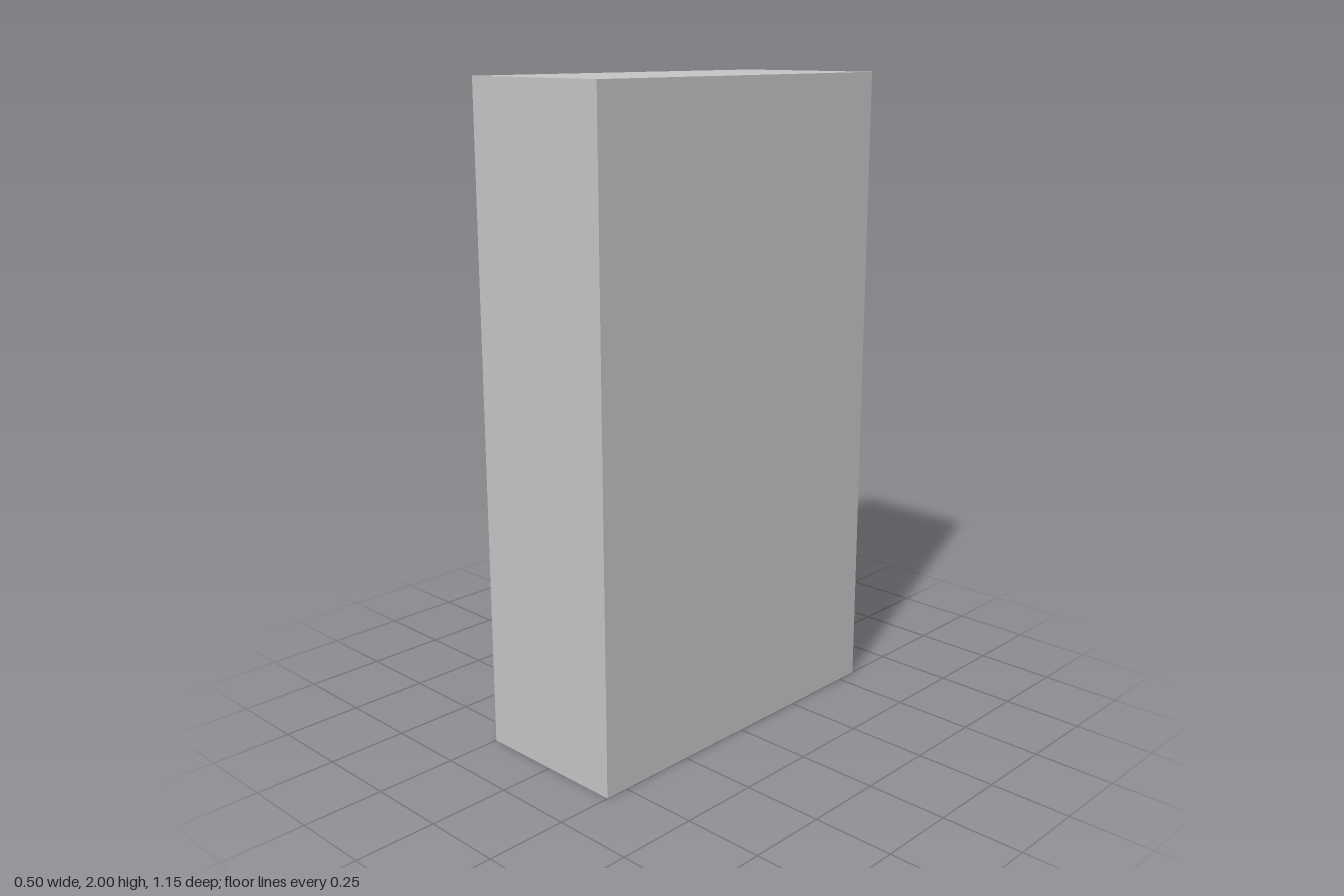
import * as THREE from 'three';

export function createModel() {
  const model = new THREE.Group();
  model.name = 'bookcase';
  const grey = new THREE.MeshStandardMaterial({ color: 0xc4c4c4 });
  grey.name = 'light grey';

  const W = 0.5, H = 2, D = 1.15; // x, y, z extents; the open side faces -x
  const side = 0.015, board = 0.018, back = 0.02;

  // Box given by its minimum and maximum corners
  function panel(name, [x0, y0, z0], [x1, y1, z1]) {
    const mesh = new THREE.Mesh(new THREE.BoxGeometry(x1 - x0, y1 - y0, z1 - z0), grey);
    mesh.position.set((x0 + x1) / 2, (y0 + y1) / 2, (z0 + z1) / 2);
    mesh.name = name;
    model.add(mesh);
  }

  const x = W / 2, z = D / 2, zi = z - side, xi = x - back;

  // Outer case
  panel('frontSidePanel', [-x, 0, zi], [x, H, z]);
  panel('rearSidePanel', [-x, 0, -z], [x, H, -zi]);
  panel('backPanel', [xi, 0, -zi], [x, H, zi]);
  panel('topPanel', [-x, H - board, -zi], [xi, H, zi]);
  panel('basePanel', [-x, 0, -zi], [xi, 0.008, zi]);

  // Floor board, slightly inset from the walls
  panel('floorBoard', [-x, 0.008, -zi + 0.01], [xi - 0.01, 0.014, zi - 0.01]);

  // Three evenly spaced shelves
  for (let i = 0; i < 3; i++) {
    const top = 0.508 + i * 0.52;
    panel('shelf' + (i + 1), [-x, top - board, -zi], [xi, top, zi]);
  }
  return model;
}
